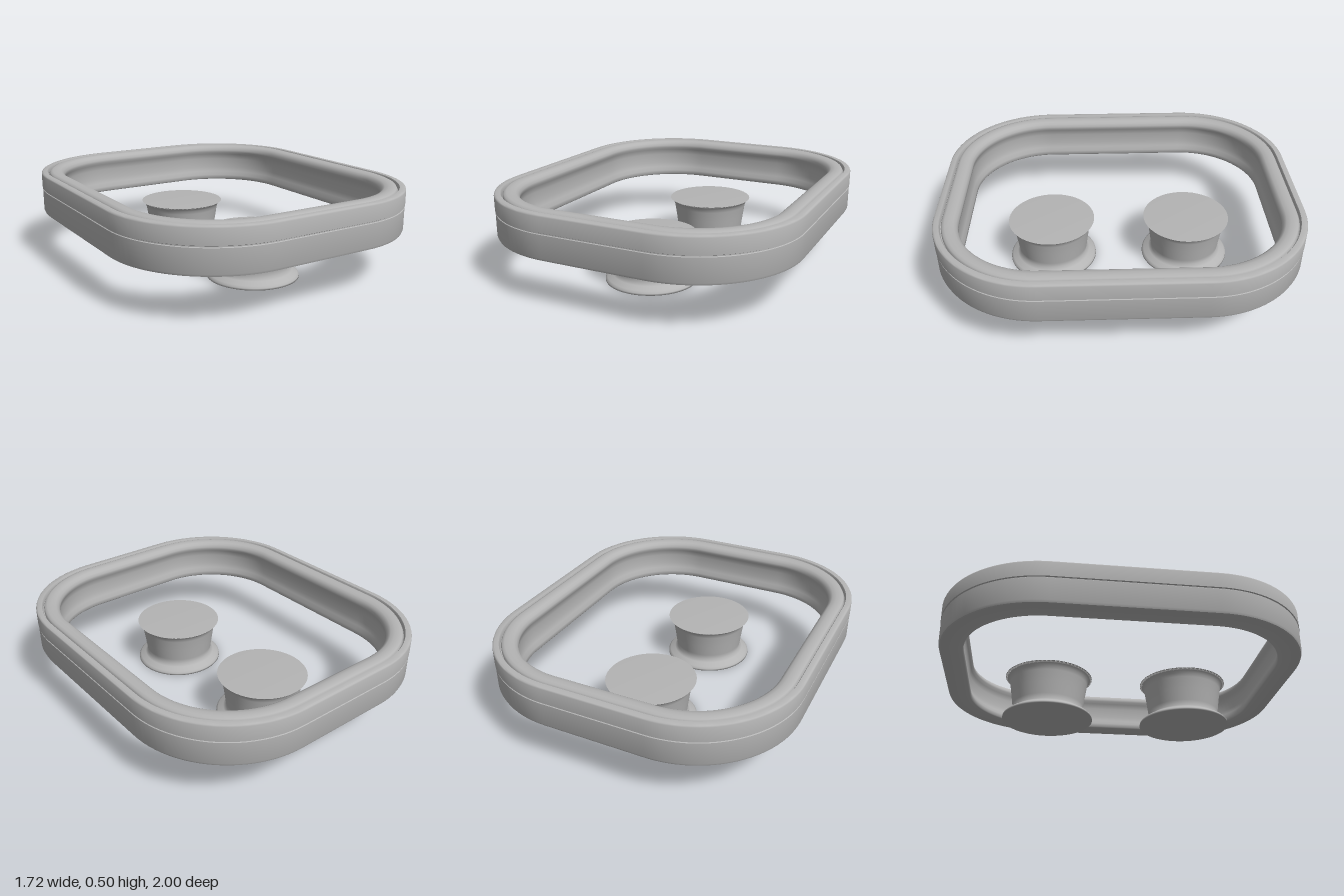
import * as THREE from 'three';
import { toCreasedNormals } from 'three/addons/utils/BufferGeometryUtils.js';

const CORNER_X = 0.28, CORNER_Z = 0.42, RADIUS = 0.58, STEPS = 24;

// Sweeps a closed [inset, y] profile around a rounded rectangle.
// The profile runs up the outside, inward over the top, and down the inside.
function sweepRing(profile) {
  const pos = [], index = [], n = profile.length;
  const total = 4 * (STEPS + 1);
  for (let q = 0; q < 4; q++) {
    const sx = q === 0 || q === 3 ? 1 : -1, sz = q < 2 ? 1 : -1;
    for (let s = 0; s <= STEPS; s++) {
      const a = (q + s / STEPS) * Math.PI / 2;
      for (const [inset, y] of profile) {
        const r = RADIUS - inset;
        pos.push(sx * CORNER_X + r * Math.cos(a), y, sz * CORNER_Z + r * Math.sin(a));
      }
    }
  }
  for (let i = 0; i < total; i++) {
    const k = (i + 1) % total;
    for (let j = 0; j < n; j++) {
      const m = (j + 1) % n;
      const a = i * n + j, b = i * n + m, c = k * n + m, d = k * n + j;
      index.push(a, b, c, a, c, d);
    }
  }
  const g = new THREE.BufferGeometry();
  g.setAttribute('position', new THREE.Float32BufferAttribute(pos, 3));
  g.setIndex(index);
  return toCreasedNormals(g, 0.9);
}

export function createModel() {
  const model = new THREE.Group();
  const grey = new THREE.MeshStandardMaterial({ color: 0xb4b4b4 });
  grey.name = 'plain grey';

  const add = (name, geometry, z = 0) => {
    const mesh = new THREE.Mesh(geometry, grey);
    mesh.name = name;
    mesh.position.z = z;
    model.add(mesh);
  };

  // Outer band with a thin seam around its side
  add('outerBand', sweepRing([
    [0.02, 0.255], [0.007, 0.258], [0.002, 0.27], [0.002, 0.392], [0.006, 0.395],
    [0.006, 0.4], [0, 0.403], [0, 0.483], [0.003, 0.49], [0.01, 0.493],
    [0.034, 0.493], [0.038, 0.487], [0.04, 0.47], [0.06, 0.46], [0.06, 0.255],
  ]));

  // Rounded inner lip, hollowed slightly on its inside wall
  add('innerLip', sweepRing([
    [0.045, 0.255], [0.045, 0.48], [0.051, 0.49], [0.065, 0.495], [0.09, 0.495],
    [0.112, 0.491], [0.126, 0.481], [0.133, 0.465], [0.134, 0.45], [0.122, 0.435],
    [0.116, 0.4], [0.116, 0.34], [0.122, 0.31], [0.134, 0.285], [0.134, 0.262], [0.128, 0.255],
  ]));

  // Two round pedestals, flared at both ends
  const outline = [
    [0, 0], [0.255, 0], [0.254, 0.01], [0.244, 0.02], [0.215, 0.036], [0.198, 0.05],
    [0.202, 0.08], [0.212, 0.15], [0.222, 0.215], [0.228, 0.235], [0.238, 0.249],
    [0.25, 0.258], [0, 0.258],
  ].map(([x, y]) => new THREE.Vector2(x, y));
  for (const [name, z] of [['frontPedestal', 0.395], ['backPedestal', -0.395]]) {
    add(name, new THREE.LatheGeometry(outline, 64), z);
  }
  return model;
}
